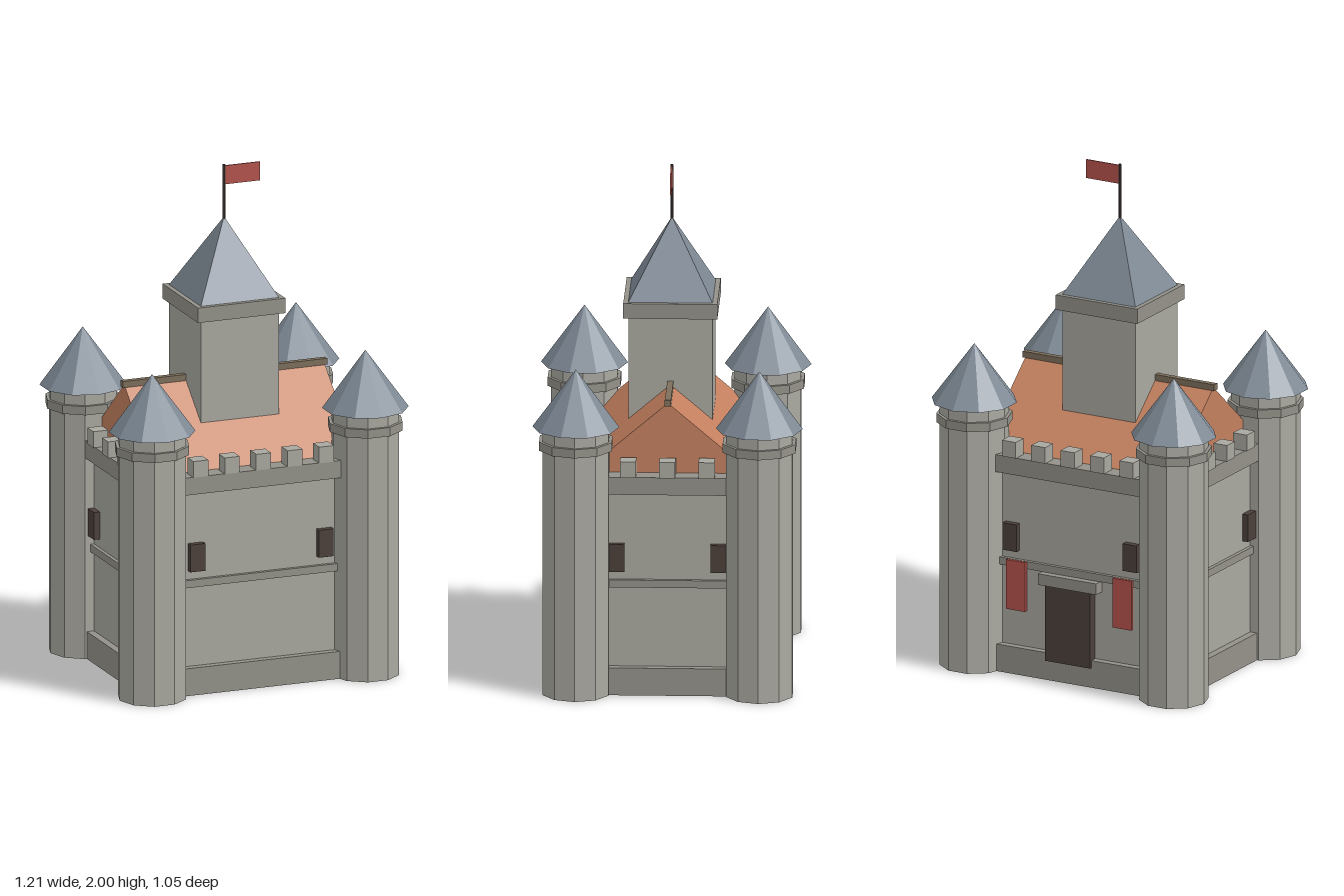
import * as THREE from 'three';

const mat = (color) => new THREE.MeshStandardMaterial({ color, flatShading: true });
const stone = mat(0xa9a8a0), trim = mat(0x939189), slate = mat(0x7f8a96);
const tile = mat(0xc4805f), dark = mat(0x4c403b), cloth = mat(0xb5534c), ridgeWood = mat(0x7d6f5c);

export function createModel() {
  const castle = new THREE.Group();
  castle.name = 'castle';

  const add = (name, geometry, material, x, y, z, parent = castle) => {
    const mesh = new THREE.Mesh(geometry, material);
    mesh.name = name;
    mesh.position.set(x, y, z);
    parent.add(mesh);
    return mesh;
  };
  // Box given by its centre in x and z and its bottom and top heights
  const block = (name, material, w, d, y0, y1, x = 0, z = 0) =>
    add(name, new THREE.BoxGeometry(w, y1 - y0, d), material, x, (y0 + y1) / 2, z);
  const column = (name, material, rTop, rBottom, y0, y1, sides, turn, parent) => {
    const m = add(name, new THREE.CylinderGeometry(rTop, rBottom, y1 - y0, sides), material, 0, (y0 + y1) / 2, 0, parent);
    m.rotation.y = turn;
    return m;
  };

  // Main hall with its stone bands
  block('walls', stone, 0.9, 0.73, 0, 0.85);
  block('plinth', trim, 0.96, 0.79, 0, 0.11);
  block('stringCourse', trim, 0.93, 0.76, 0.43, 0.46);
  block('parapet', trim, 0.975, 0.802, 0.81, 0.88);

  // Battlements on all four sides
  for (const s of [-1, 1]) {
    for (let i = -2; i <= 2; i++) block('merlon', stone, 0.062, 0.062, 0.88, 0.945, i * 0.131, s * 0.375);
    for (let i = -1; i <= 1; i++) block('merlon', stone, 0.062, 0.062, 0.88, 0.945, s * 0.465, i * 0.152);
  }

  // Gabled roof with a ridge beam
  const gable = new THREE.Shape([
    new THREE.Vector2(-0.328, 0.88), new THREE.Vector2(0.328, 0.88), new THREE.Vector2(0, 1.16),
  ]);
  const roof = new THREE.ExtrudeGeometry(gable, { depth: 0.834, bevelEnabled: false });
  roof.translate(0, 0, -0.417).rotateY(Math.PI / 2);
  add('gableRoof', roof, tile, 0, 0, 0);
  block('ridgeBeam', ridgeWood, 0.854, 0.024, 1.15, 1.175);

  // Central keep, pyramid roof and flag
  block('keep', stone, 0.326, 0.326, 0.85, 1.43);
  block('keepCornice', trim, 0.364, 0.364, 1.43, 1.49);
  column('keepRoof', slate, 0, 0.163 * Math.SQRT2, 1.49, 1.79, 4, Math.PI / 4);
  column('flagPole', dark, 0.005, 0.005, 1.77, 2, 6, 0);
  block('flag', cloth, 0.145, 0.006, 1.92, 1.995, 0.0775, 0);

  // Corner towers
  for (const sx of [-1, 1]) {
    for (const sz of [-1, 1]) {
      const tower = new THREE.Group();
      tower.name = 'cornerTower';
      tower.position.set(sx * 0.445, 0, sz * 0.355);
      column('towerShaft', stone, 0.135, 0.135, 0, 1.08, 10, Math.PI / 10, tower);
      column('towerRing', trim, 0.148, 0.148, 0.985, 1.02, 10, Math.PI / 10, tower);
      column('towerRoof', slate, 0, 0.168, 1.07, 1.3, 10, 0, tower);
      castle.add(tower);
    }
  }

  // Two windows in each wall
  for (const a of [-1, 1]) {
    for (const b of [-1, 1]) {
      block('window', dark, 0.062, 0.04, 0.495, 0.605, a * 0.268, b * 0.37);
      block('window', dark, 0.04, 0.062, 0.495, 0.605, b * 0.455, a * 0.197);
    }
  }

  // Rear entrance with lintel and hanging banners
  block('door', dark, 0.2, 0.06, 0.08, 0.39, 0, -0.375);
  block('doorLintel', trim, 0.26, 0.07, 0.385, 0.43, 0, -0.375);
  for (const s of [-1, 1]) block('banner', cloth, 0.085, 0.012, 0.26, 0.46, s * 0.237, -0.39);

  return castle;
}
